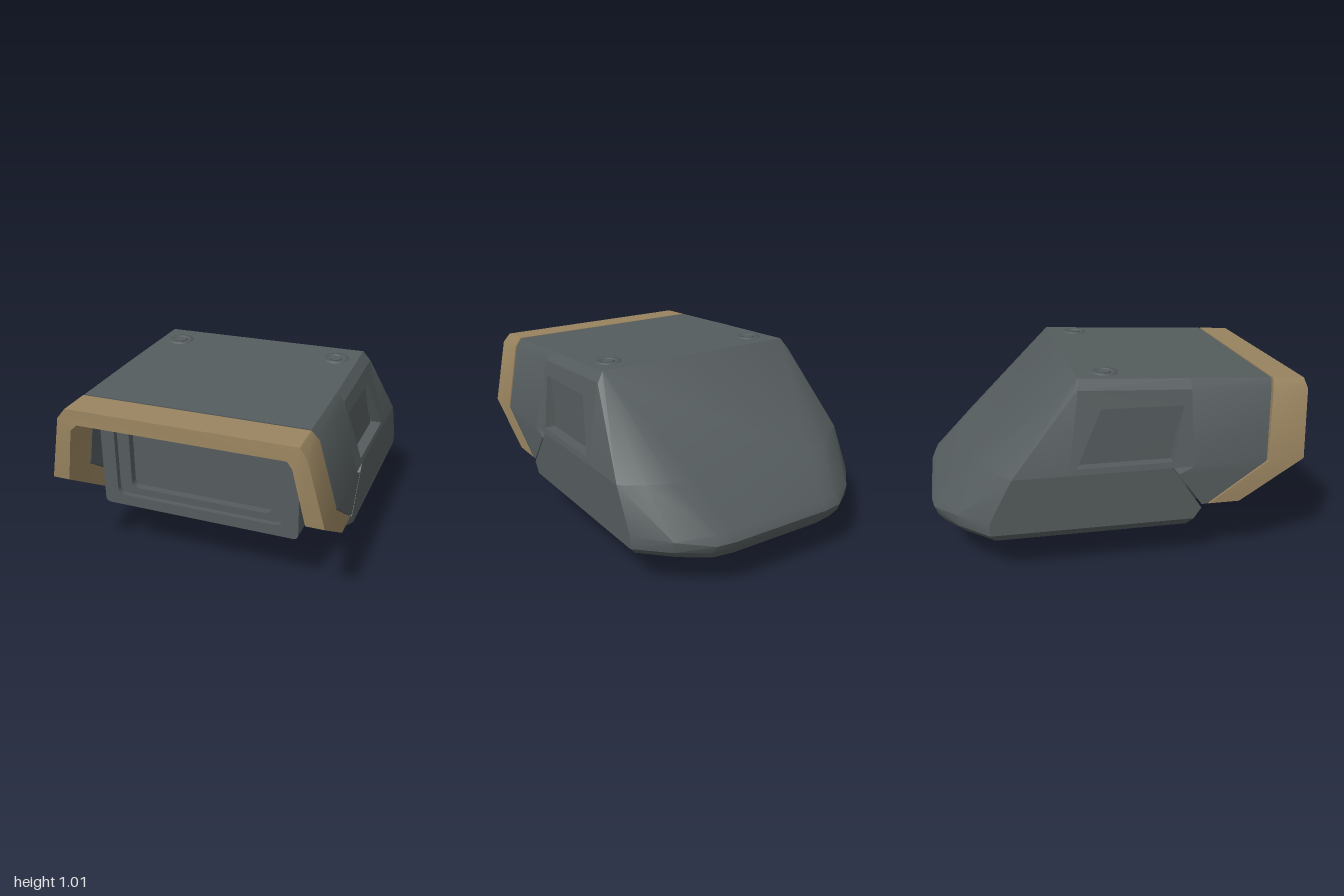
import * as THREE from 'three';
import { toCreasedNormals } from 'three/addons/utils/BufferGeometryUtils.js';
import { ConvexGeometry } from 'three/addons/geometries/ConvexGeometry.js';

const CREASE = 0.5;
// height of the gently sloping roof, and half-width of the leaning upper walls
const roofY = (z) => 0.96 + 0.0485 * (0.8 - z);
const wallX = (y) => 0.735 - 0.226 * (y - 0.54);

// solid wrapped around points given for one half and mirrored in x
function hull(half) {
  const pts = half.flatMap(([x, y, z]) => [new THREE.Vector3(x, y, z), new THREE.Vector3(-x, y, z)]);
  return toCreasedNormals(new ConvexGeometry(pts), CREASE);
}

// arch-shaped shell: rows are [outerX, outerY, innerX, innerY, frontZ, backZ], +x foot to the top
function archBand(half) {
  const lift = (x, y, z) => [x, y > 0.7 ? y + roofY(z) - 0.96 : y, z];
  const ring = ([xo, yo, xi, yi, zf, zb], s) =>
    [lift(s * xo, yo, zf), lift(s * xo, yo, zb), lift(s * xi, yi, zb), lift(s * xi, yi, zf)];
  const rings = [...half.map((r) => ring(r, 1)), ...[...half].reverse().map((r) => ring(r, -1))];
  const pos = [];
  const quad = (a, b, c, d) => pos.push(...a, ...b, ...c, ...a, ...c, ...d);
  for (let i = 0; i < rings.length - 1; i++) {
    for (let j = 0; j < 4; j++) {
      const k = (j + 1) % 4;
      quad(rings[i][j], rings[i][k], rings[i + 1][k], rings[i + 1][j]);
    }
  }
  const [a, b, c, d] = rings[0];
  quad(d, c, b, a);
  quad(...rings[rings.length - 1]);
  const g = new THREE.BufferGeometry();
  g.setAttribute('position', new THREE.Float32BufferAttribute(pos, 3));
  return toCreasedNormals(g, CREASE);
}

// rounded rectangle, used for outlines and holes
function roundRect(path, w, y0, y1, r) {
  path.moveTo(-w + r, y0);
  path.lineTo(w - r, y0);
  path.quadraticCurveTo(w, y0, w, y0 + r);
  path.lineTo(w, y1 - r);
  path.quadraticCurveTo(w, y1, w - r, y1);
  path.lineTo(-w + r, y1);
  path.quadraticCurveTo(-w, y1, -w, y1 - r);
  path.lineTo(-w, y0 + r);
  path.quadraticCurveTo(-w, y0, -w + r, y0);
  return path;
}

// leaning wall panel with a window-shaped pocket
function sidePanel(s) {
  const depth = 0.06;
  const v = ([z, y]) => new THREE.Vector2(-z, y);
  const shape = new THREE.Shape([[0.36, 0.54], [-0.3, 0.54], [-0.235, 0.957], [0.36, 0.932]].map(v));
  shape.holes.push(new THREE.Path([[0.32, 0.855], [-0.12, 0.86], [-0.26, 0.57], [0.25, 0.57]].map(v)));
  const g = new THREE.ExtrudeGeometry(shape, { depth, bevelEnabled: false });
  g.rotateY(Math.PI / 2);
  const p = g.attributes.position;
  for (let i = 0; i < p.count; i++) {
    const x = p.getX(i);
    p.setX(i, s > 0 ? x - depth + wallX(p.getY(i)) : x - wallX(p.getY(i)));
  }
  g.computeVertexNormals();
  return g;
}

export function createModel() {
  const model = new THREE.Group();
  const grey = new THREE.MeshStandardMaterial({ color: 0x555c5d });
  grey.name = 'slate grey';
  const tan = new THREE.MeshStandardMaterial({ color: 0x98835f });
  tan.name = 'tan';
  const add = (name, geometry, material = grey) => {
    const m = new THREE.Mesh(geometry, material);
    m.name = name;
    model.add(m);
    return m;
  };

  // shared waist of the body, with rounded rear corners
  const waist = [[0.735, 0.54, -0.59], [0.62, 0.54, -0.67], [0.5, 0.54, -0.73], [0.38, 0.54, -0.741]];

  // lower body with bevelled base and undercut front
  add('lowerBody', hull([
    ...waist, [0.735, 0.54, 0.24],
    [0.735, 0.5, 0.27], [0.735, 0.3, 0.41], [0.735, 0.24, 0.37], [0.69, 0.19, 0.34],
    [0.69, 0.19, -0.68], [0.54, 0.19, -0.83], [0.4, 0.19, -0.93], [0.28, 0.19, -0.95],
    [0.735, 0.24, -0.71], [0.58, 0.24, -0.86], [0.42, 0.24, -0.965], [0.3, 0.24, -0.985],
    [0.735, 0.31, -0.71], [0.58, 0.3, -0.87], [0.41, 0.28, -0.985], [0.3, 0.28, -1],
    [0.4, 0.33, -0.965], [0.3, 0.33, -0.975],
  ]));

  // sloping upper rear
  add('upperRear', hull([
    ...waist, [0.735, 0.54, -0.3],
    [0.64, 0.957, -0.235], [0.64, 0.955, -0.25], [0.6, 1.01, -0.23],
  ]));

  // middle core, set in behind the side panels
  add('upperCore', hull([
    [0.655, 0.54, -0.3], [0.655, 0.54, 0.36],
    [0.64, 0.957, -0.235], [0.645, 0.932, 0.36],
    [0.6, 1.01, -0.23], [0.608, roofY(0.36), 0.36],
  ]));
  add('leftSidePanel', sidePanel(1));
  add('rightSidePanel', sidePanel(-1));

  // open hood over the window
  add('hood', archBand([
    [0.735, 0.32, 0.645, 0.32, 0.44, 0.41],
    [0.735, 0.5, 0.64, 0.5, 0.7, 0.28],
    [0.735, 0.54, 0.64, 0.54, 0.76, 0.36],
    [0.645, 0.91, 0.575, 0.85, 0.795, 0.36],
    [0.608, 0.96, 0.55, 0.88, 0.805, 0.36],
  ]));
  add('hoodTrim', archBand([
    [0.735, 0.32, 0.645, 0.32, 0.62, 0.45],
    [0.735, 0.54, 0.64, 0.54, 0.97, 0.77],
    [0.65, 0.91, 0.58, 0.85, 1, 0.805],
    [0.61, 0.96, 0.55, 0.88, 0.99, 0.815],
  ]), tan);

  // window housing: block, stepped frames and glass
  add('windowHousing', hull([
    [0.55, 0.87, 0.2], [0.55, 0.87, 0.7], [0.55, 0.36, 0.7], [0.52, 0.29, 0.7],
    [0.46, 0.22, 0.57], [0.46, 0.22, 0.3], [0.55, 0.36, 0.2],
  ]));
  const frame = (name, outer, hole, z, depth) => {
    const shape = roundRect(new THREE.Shape(), ...outer);
    shape.holes.push(roundRect(new THREE.Path(), ...hole));
    const g = new THREE.ExtrudeGeometry(shape, { depth, bevelEnabled: false, curveSegments: 5 });
    add(name, toCreasedNormals(g, CREASE)).position.z = z;
  };
  frame('windowFrame', [0.55, 0.33, 0.87, 0.03], [0.47, 0.39, 0.81, 0.05], 0.69, 0.09);
  frame('windowInnerFrame', [0.5, 0.36, 0.84, 0.03], [0.4, 0.43, 0.79, 0.04], 0.69, 0.06);
  add('glass', new THREE.BoxGeometry(0.82, 0.38, 0.008)).position.set(0, 0.61, 0.703);

  // roof screws: raised rim around a hex socket
  for (const s of [1, -1]) {
    const screw = new THREE.Group();
    screw.name = s > 0 ? 'leftScrew' : 'rightScrew';
    const rim = new THREE.Mesh(new THREE.LatheGeometry(
      [[0.076, -0.01], [0.072, 0.006], [0.054, 0.008], [0.05, 0.001]].map(([x, y]) => new THREE.Vector2(x, y)), 20), grey);
    rim.name = 'screwRim';
    const socket = new THREE.Mesh(new THREE.CylinderGeometry(0.038, 0.038, 0.012, 6), grey);
    socket.name = 'hexSocket';
    screw.add(rim, socket);
    screw.position.set(s * 0.48, roofY(-0.07), -0.07);
    screw.rotation.x = 0.048;
    model.add(screw);
  }

  // stepped round mount underneath
  const mount = [
    [0, 0], [0.28, 0], [0.29, 0.01], [0.29, 0.075], [0.28, 0.085], [0.27, 0.085], [0.27, 0.098],
    [0.32, 0.1], [0.328, 0.11], [0.328, 0.13], [0.32, 0.14], [0.3, 0.142], [0.3, 0.15],
    [0.36, 0.15], [0.365, 0.157], [0.365, 0.2], [0, 0.2],
  ].map(([x, y]) => new THREE.Vector2(x, y));
  add('mount', toCreasedNormals(new THREE.LatheGeometry(mount, 40), CREASE)).position.z = -0.155;

  return model;
}
